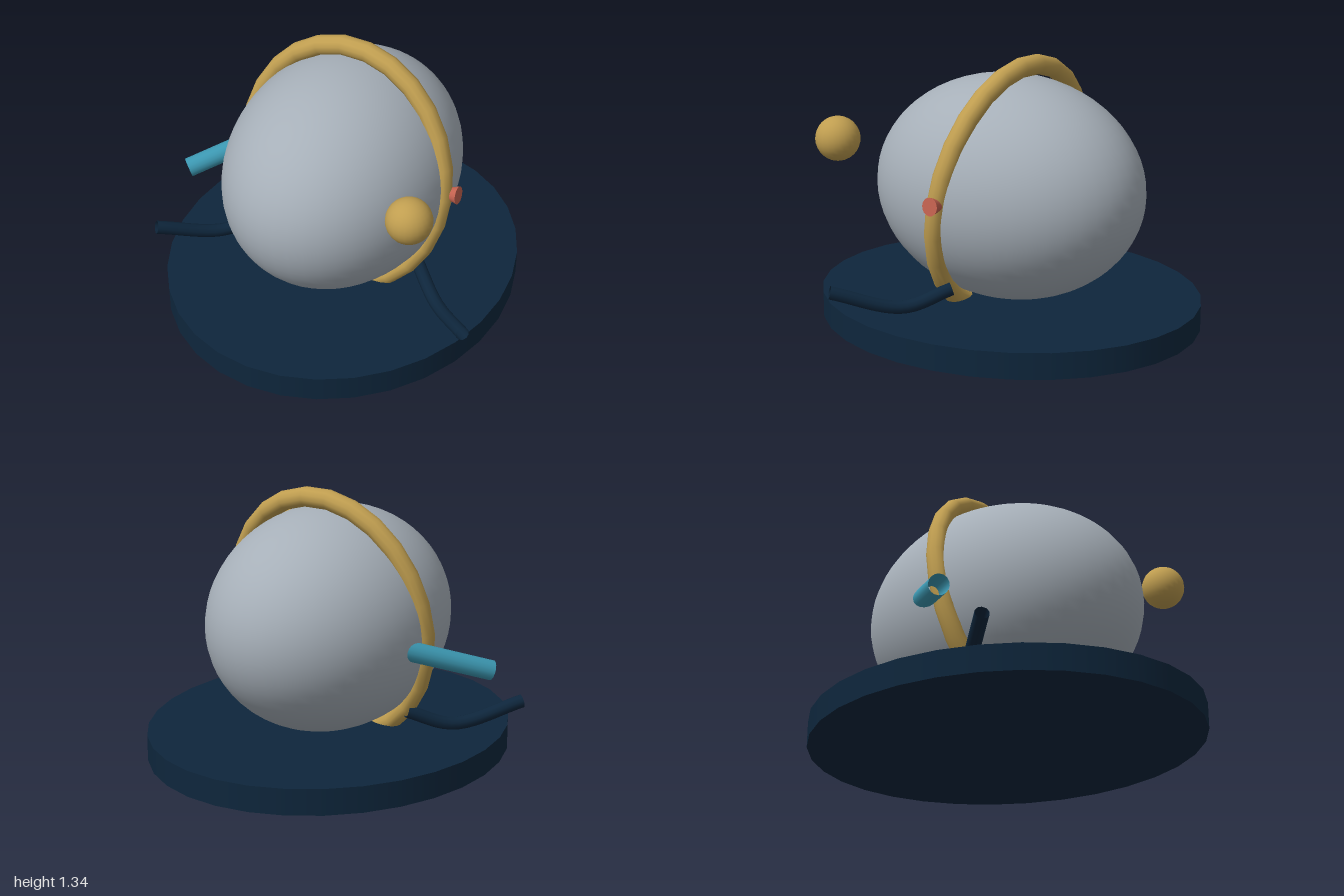
import * as THREE from 'three';

const material = (name, color, side = THREE.FrontSide) => {
  const m = new THREE.MeshStandardMaterial({ color, side });
  m.name = name;
  return m;
};

export function createModel() {
  const model = new THREE.Group();
  const navy = material('navy', 0x0e263c, THREE.DoubleSide);
  const grey = material('silver grey', 0xa6afb8);
  const gold = material('gold', 0xc09e50);
  const cyan = material('cyan', 0x3c98b2, THREE.DoubleSide);
  const red = material('coral red', 0xc4624f);

  const add = (name, geometry, mat, x = 0, y = 0, z = 0) => {
    const mesh = new THREE.Mesh(geometry, mat);
    mesh.name = name;
    mesh.position.set(x, y, z);
    model.add(mesh);
    return mesh;
  };
  const v = (x, y, z) => new THREE.Vector3(x, y, z);

  // Oval base plate
  add('base', new THREE.CylinderGeometry(1, 1, 0.13, 32).scale(0.88, 1, 1), navy, 0, 0.065, 0);

  // Egg-shaped body, sunk slightly into the base
  add('body', new THREE.SphereGeometry(1, 48, 32).scale(0.565, 0.565, 0.725), grey, 0, 0.67, 0);

  // Oval hoop leaning back around the body
  const hoop = add('hoop', new THREE.TorusGeometry(0.635, 0.05, 12, 26).scale(0.875, 1, 1), gold, 0, 0.67, 0);
  hoop.rotation.set(-0.19, -0.04, 0);

  // Floating ball at the front left
  add('ball', new THREE.SphereGeometry(0.11, 24, 16), gold, 0.63, 0.95, 0.57);

  // Flared knob on the side of the hoop
  const knob = add('knob', new THREE.CylinderGeometry(0.045, 0.025, 0.07, 16), red, 0.592, 0.695, 0);
  knob.rotation.z = -Math.PI / 2 + 0.11;

  // Open spout sloping down and forward
  const spout = new THREE.LineCurve3(v(-0.42, 0.648, -0.23), v(-0.82, 0.476, 0.17));
  add('spout', new THREE.TubeGeometry(spout, 1, 0.05, 16), cyan);

  // Mirrored curved feet
  for (const [name, s] of [['leftFoot', 1], ['rightFoot', -1]]) {
    const path = new THREE.CatmullRomCurve3([
      v(s * 0.43, 0.235, 0.03), v(s * 0.61, 0.157, 0.19), v(s * 0.865, 0.25, 0.435),
    ]);
    add(name, new THREE.TubeGeometry(path, 16, 0.034, 10), navy);
  }
  return model;
}
